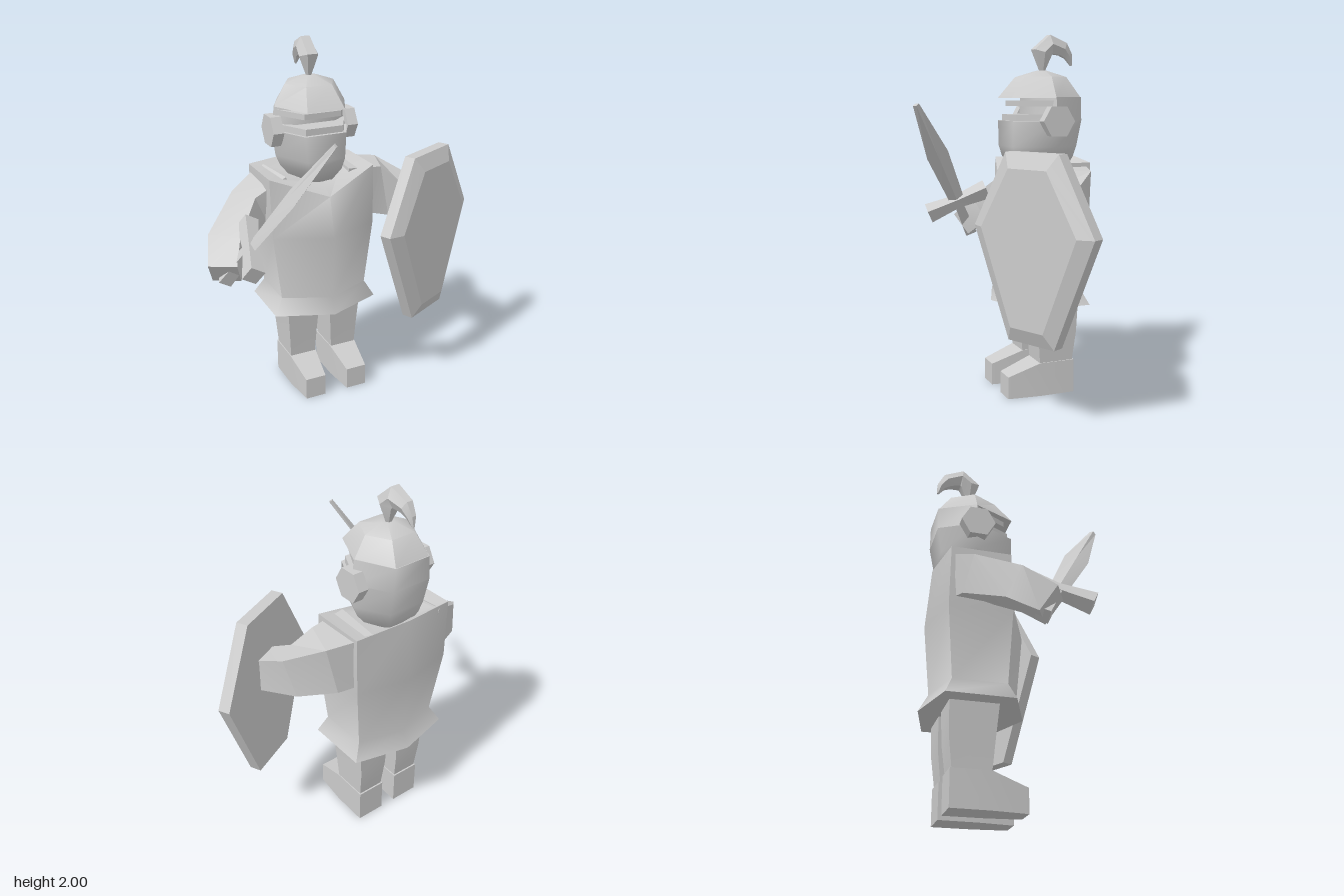
import * as THREE from 'three';
import { toCreasedNormals } from 'three/addons/utils/BufferGeometryUtils.js';

const V = (x, y, z) => new THREE.Vector3(x, y, z);
const CX = -0.13; // body centre line

// Skin a closed surface over rings of equal length, capped at both ends.
function loft(name, rings, crease = 0.3) {
  const n = rings[0].length, pos = [], index = [];
  rings.forEach(r => r.forEach(p => pos.push(p.x, p.y, p.z)));
  for (let i = 0; i < rings.length - 1; i++) {
    for (let j = 0; j < n; j++) {
      const k = (j + 1) % n, a = i * n + j, b = i * n + k;
      index.push(a, b, b + n, a, b + n, a + n);
    }
  }
  const top = (rings.length - 1) * n;
  for (let j = 1; j < n - 1; j++) {
    index.push(0, j + 1, j, top, top + j, top + j + 1);
  }
  const geo = new THREE.BufferGeometry();
  geo.setAttribute('position', new THREE.Float32BufferAttribute(pos, 3));
  geo.setIndex(index);
  const mesh = new THREE.Mesh(
    toCreasedNormals(geo, crease),
    new THREE.MeshStandardMaterial({ color: 0xcccccc })
  );
  mesh.name = name;
  return mesh;
}

// Sweep an n-sided section along stations [x, y, z, halfWidth, halfHeight].
function sweep(name, stations, up, n = 4) {
  const pts = stations.map(s => V(s[0], s[1], s[2]));
  const k = n === 4 ? Math.SQRT2 : 1;
  const rings = stations.map((s, i) => {
    const t = pts[Math.min(i + 1, pts.length - 1)].clone()
      .sub(pts[Math.max(i - 1, 0)]).normalize();
    const u = up.clone().cross(t).normalize(), v = t.clone().cross(u);
    return Array.from({ length: n }, (_, j) => {
      const a = (j + 0.5) / n * Math.PI * 2;
      return pts[i].clone()
        .addScaledVector(u, Math.cos(a) * s[3] * k)
        .addScaledVector(v, Math.sin(a) * s[4] * k);
    });
  });
  return loft(name, rings);
}

// Level hexagon with its points to the sides, for the head and helmet.
function headRing([y, rx, front, back]) {
  const mid = -0.215, c = rx * 0.52;
  return [[c, front], [rx, mid], [c, back], [-c, back], [-rx, mid], [-c, front]]
    .map(([x, z]) => V(CX + x, y, z));
}

// Hexagon with its points to the front and back, for the tunic.
function tunicRing([w, yf, front, y, cf, cb, yb, back]) {
  return [[0, yf, front], [w, y, cf], [w, y, cb], [0, yb, back], [-w, y, cb], [-w, y, cf]]
    .map(([x, h, z]) => V(CX + x, h, z));
}

function makeLeg(name, x, side) {
  const leg = new THREE.Group();
  leg.name = name;
  const shin = [[0.18, 0.075, -0.12, -0.315], [0.35, 0.085, -0.105, -0.335], [0.56, 0.1, -0.085, -0.34]]
    .map(([y, w, f, b]) => [V(-w, y, f), V(w, y, f), V(w, y, b), V(-w, y, b)]);
  const foot = [[-0.325, 0.082, 0.19], [-0.12, 0.08, 0.19], [0.065, 0.06, 0.125]]
    .map(([z, w, h]) => [V(-w, 0, z), V(w, 0, z), V(w, h, z), V(-w, h, z)]);
  leg.add(loft('shin', shin), loft('foot', foot));
  leg.position.x = x + side * 0.002;
  return leg;
}

function makeHead() {
  const head = new THREE.Group();
  head.name = 'head';
  const part = (name, rows, crease) => head.add(loft(name, rows.map(headRing), crease));
  part('face', [
    [1.24, 0.105, -0.08, -0.33], [1.33, 0.18, -0.015, -0.37],
    [1.39, 0.205, 0, -0.385], [1.53, 0.222, 0, -0.41]], 1.2);
  part('upperHead', [[1.53, 0.222, -0.13, -0.41], [1.66, 0.205, -0.13, -0.41]], 1.2);
  part('lowerVisorBar', [[1.53, 0.208, -0.02, -0.3], [1.565, 0.206, -0.02, -0.3]]);
  part('upperVisorBar', [[1.61, 0.2, -0.04, -0.3], [1.64, 0.2, -0.04, -0.3]]);
  part('helmetDome', [
    [1.655, 0.205, 0.005, -0.41], [1.77, 0.14, -0.085, -0.335], [1.805, 0.04, -0.19, -0.24]], 0.75);

  // Hexagonal hinges on both sides
  for (const side of [-1, 1]) {
    const hinge = new THREE.Mesh(
      new THREE.CylinderGeometry(0.092, 0.092, 0.06, 6),
      new THREE.MeshStandardMaterial({ color: 0xcccccc, flatShading: true })
    );
    hinge.name = side > 0 ? 'leftHinge' : 'rightHinge';
    hinge.rotation.z = Math.PI / 2;
    hinge.position.set(CX + side * 0.215, 1.53, -0.215);
    head.add(hinge);
  }

  // Plume curling to the back
  head.add(sweep('plume', [
    [CX, 1.8, -0.22, 0.015, 0.015], [CX, 1.905, -0.215, 0.055, 0.062],
    [CX, 1.95, -0.265, 0.05, 0.06], [CX, 1.925, -0.345, 0.035, 0.045],
    [CX, 1.885, -0.38, 0.024, 0.026], [CX, 1.835, -0.398, 0.006, 0.006]
  ].map(([x, y, z, a, b]) => [x, y, z, b, a]), V(1, 0, 0), 6));
  return head;
}

function makeSword() {
  const sword = new THREE.Group();
  sword.name = 'sword';
  // Local y runs along the blade, local z along the guard
  const flat = (y, w, t) => [V(0, y, w), V(t, y, 0), V(0, y, -w), V(-t, y, 0)];
  sword.add(loft('blade', [
    flat(0, 0.045, 0.02), flat(0.38, 0.065, 0.018), flat(0.75, 0.018, 0.012)]));
  sword.add(sweep('guard', [
    [0, 0, -0.19, 0.04, 0.045], [0, 0, 0, 0.028, 0.03], [0, 0, 0.19, 0.04, 0.045]], V(0, 1, 0)));
  sword.add(sweep('grip', [
    [0, -0.26, 0, 0.035, 0.035], [0, 0, 0, 0.025, 0.025]], V(0, 0, 1)));
  const y = V(0.32, 0.59, 0.34).normalize();
  const x = y.clone().cross(V(-0.11, -0.17, 0.33)).normalize();
  const z = x.clone().cross(y);
  sword.quaternion.setFromRotationMatrix(new THREE.Matrix4().makeBasis(x, y, z));
  sword.position.set(-0.615, 1.03, 0.125);
  return sword;
}

function makeShield() {
  // Six-sided plate with a bevelled front
  const outline = (z, d) => [
    [-0.15 + d * 0.55, -0.575 + d], [0.15 - d * 0.55, -0.575 + d], [0.387 - d, 0],
    [0.17 - d * 0.6, 0.39 - d], [-0.17 + d * 0.6, 0.39 - d], [-0.387 + d, 0]
  ].map(([x, y]) => V(x, y, z));
  const shield = loft('shield', [outline(0, 0), outline(0.063, 0), outline(0.1, 0.08)]);
  shield.position.set(0.43, 1, 0.04);
  shield.rotation.y = 0.46;
  return shield;
}

export function createModel() {
  const model = new THREE.Group();
  model.name = 'knight';

  // Tunic from the flared hem up over the shoulders to the collar
  model.add(loft('tunic', [
    [0.305, 0.52, 0.09, 0.52, -0.03, -0.38, 0.52, -0.455],
    [0.255, 0.61, 0.055, 0.61, -0.06, -0.34, 0.61, -0.405],
    [0.3, 0.98, 0.09, 0.98, -0.045, -0.375, 0.98, -0.44],
    [0.305, 1.2, 0.04, 1.31, -0.055, -0.37, 1.33, -0.41],
    [0.11, 1.25, -0.05, 1.27, -0.1, -0.3, 1.28, -0.34]
  ].map(tunicRing), 1.1));

  model.add(makeLeg('rightLeg', -0.24, -1), makeLeg('leftLeg', 0.012, 1));
  model.add(makeHead());

  // Arms
  model.add(sweep('leftArm', [
    [0.04, 1.16, -0.23, 0.15, 0.14], [0.25, 1.14, -0.21, 0.11, 0.14],
    [0.38, 1.08, -0.12, 0.075, 0.11], [0.46, 1.03, 0.05, 0.068, 0.09]], V(0, 1, 0)));
  model.add(sweep('rightArm', [
    [-0.3, 1.18, -0.24, 0.15, 0.13], [-0.49, 1.11, -0.22, 0.09, 0.1],
    [-0.67, 0.98, -0.07, 0.09, 0.085], [-0.735, 0.88, 0.05, 0.075, 0.075]], V(0, 1, 0)));

  model.add(makeSword(), makeShield());
  return model;
}
